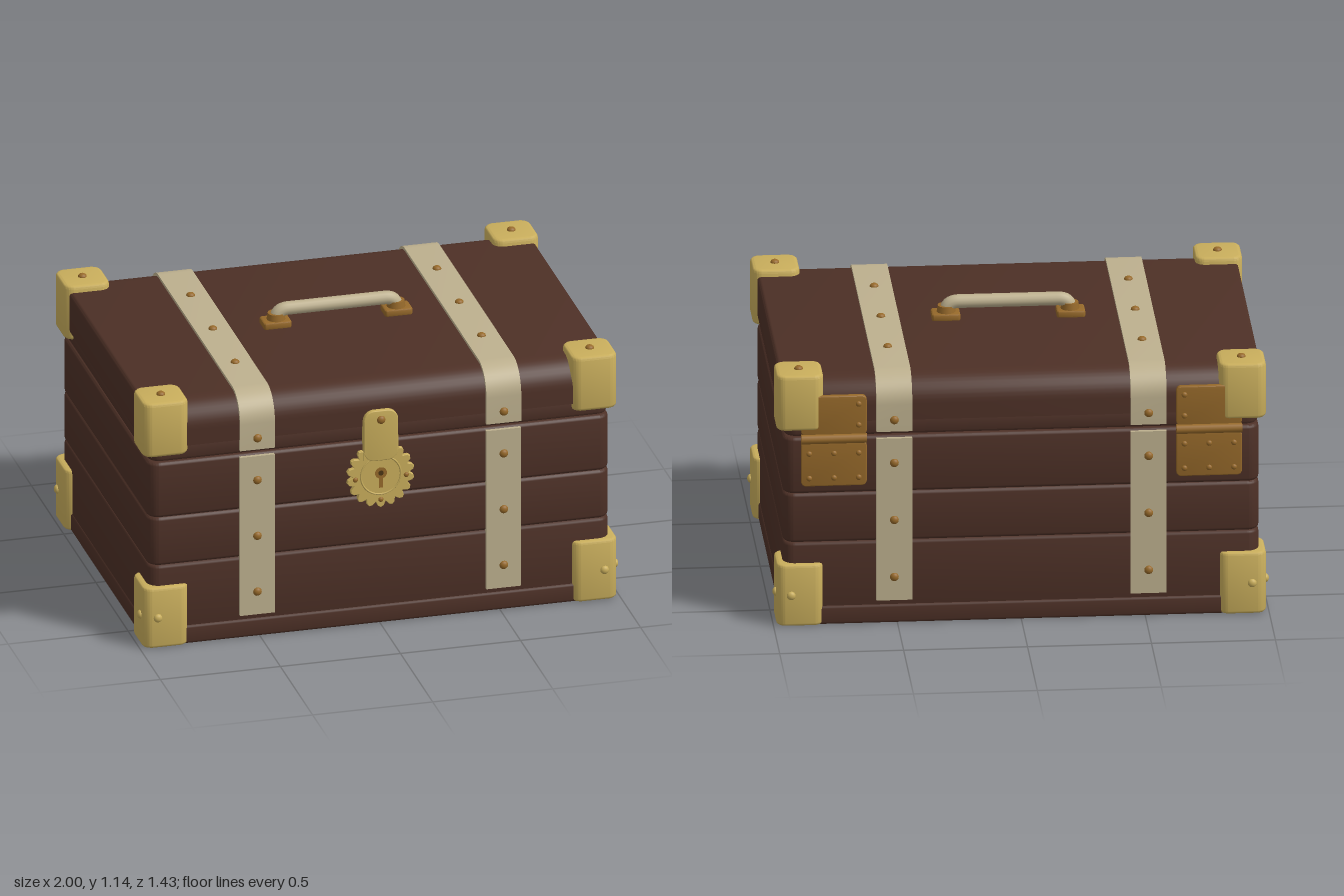
import * as THREE from 'three';
import { toCreasedNormals } from 'three/addons/utils/BufferGeometryUtils.js';

const paint = (name, color) => {
  const m = new THREE.MeshStandardMaterial({ color });
  m.name = name;
  return m;
};

export function createModel() {
  const root = new THREE.Group();
  root.name = 'trunk';
  const leather = paint('brown leather', 0x4d3026);
  const gold = paint('pale brass', 0xc9ae5c);
  const cream = paint('cream strap', 0xbdb08e);
  const bronze = paint('bronze', 0x96692a);
  const dark = paint('dark keyhole', 0x4a3414);

  const add = (name, geo, mat, x = 0, y = 0, z = 0, parent = root) => {
    const m = new THREE.Mesh(geo, mat);
    m.name = name;
    m.position.set(x, y, z);
    parent.add(m);
    return m;
  };
  const smooth = (g) => toCreasedNormals(g, 0.6);

  // Rounded rectangle outline, centred on the origin
  const roundRect = (w, h, r) => {
    const s = new THREE.Shape();
    const a = w / 2, b = h / 2;
    s.moveTo(a, -b + r);
    s.absarc(a - r, b - r, r, 0, Math.PI / 2);
    s.absarc(-a + r, b - r, r, Math.PI / 2, Math.PI);
    s.absarc(-a + r, -b + r, r, Math.PI, Math.PI * 1.5);
    s.absarc(a - r, -b + r, r, Math.PI * 1.5, Math.PI * 2);
    return s;
  };
  // Extrusion of exact depth whose bevel stays inside the outline
  const extrude = (shape, depth, bevel) => new THREE.ExtrudeGeometry(shape, {
    depth: depth - 2 * bevel, bevelEnabled: bevel > 0, bevelSize: bevel,
    bevelThickness: bevel, bevelOffset: -bevel, bevelSegments: 3, curveSegments: 10,
  }).translate(0, 0, bevel);
  // Horizontal slab standing on y = 0
  const slab = (w, h, d, r, bevel) =>
    smooth(extrude(roundRect(w, d, r), h, bevel).rotateX(-Math.PI / 2));

  // Domed nail head pointing along a direction
  const domeGeo = new THREE.SphereGeometry(1, 14, 6, 0, Math.PI * 2, 0, Math.PI / 2);
  const up = new THREE.Vector3(0, 1, 0);
  const rivet = (x, y, z, dir, r = 0.018, mat = bronze) => {
    const m = add('rivet', domeGeo, mat, x, y, z);
    m.quaternion.setFromUnitVectors(up, new THREE.Vector3(...dir));
    m.scale.set(r, r * 0.75, r);
  };

  // Body planks with bevelled joints
  add('baseMoulding', slab(1.93, 0.08, 1.37, 0.05, 0.012), leather);
  [[0.06, 0.352], [0.352, 0.562], [0.562, 0.802]].forEach(([y0, y1]) =>
    add('plank', slab(1.92, y1 - y0, 1.356, 0.05, 0.014), leather, 0, y0));
  add('lidRim', slab(1.91, 0.07, 1.35, 0.05, 0.01), leather, 0, 0.808);

  // Lid, rounded over along its front and back edges
  const archPoints = (half, bottom, top, r) => {
    const pts = [[half, bottom]];
    for (let i = 0; i <= 10; i++) {
      const a = (i / 10) * Math.PI / 2;
      pts.push([half - r + Math.cos(a) * r, top - r + Math.sin(a) * r]);
    }
    return [...pts, ...pts.map(([z, y]) => [-z, y]).reverse()]
      .map(([z, y]) => new THREE.Vector2(z, y));
  };
  const alongX = (shape, width, bevel) => smooth(
    extrude(shape, width, bevel).translate(0, 0, -width / 2).rotateY(Math.PI / 2));
  add('lid', alongX(new THREE.Shape(archPoints(0.682, 0.87, 1.048, 0.11)), 1.94, 0.015), leather);

  // Straps and their nails
  const strapOutline = new THREE.Shape([
    ...archPoints(0.694, 0.825, 1.06, 0.12),
    ...archPoints(0.672, 0.825, 1.04, 0.104).reverse(),
  ]);
  const lidStrapGeo = alongX(strapOutline, 0.145, 0);
  const bodyStrapGeo = new THREE.BoxGeometry(0.145, 0.695, 0.02);
  for (const s of [-1, 1]) {
    const x = s * 0.513;
    add('lidStrap', lidStrapGeo, cream, x);
    for (const f of [-1, 1]) {
      add('bodyStrap', bodyStrapGeo, cream, x, 0.4475, f * 0.682);
      for (const y of [0.2, 0.445, 0.69, 0.875])
        rivet(x, y, f * (y > 0.8 ? 0.694 : 0.692), [0, 0, f]);
    }
    for (const z of [-0.345, 0, 0.345]) rivet(x, 1.06, z, [0, 1, 0]);
  }

  // Brass corner caps
  const topCap = slab(0.19, 0.235, 0.19, 0.042, 0.014);
  const footCap = slab(0.19, 0.262, 0.19, 0.042, 0.012);
  for (const sx of [-1, 1]) for (const sz of [-1, 1]) {
    add('topCorner', topCap, gold, sx * 0.893, 0.84, sz * 0.608);
    add('bottomCorner', footCap, gold, sx * 0.893, 0.003, sz * 0.608);
    rivet(sx * 0.893, 1.075, sz * 0.608, [0, 1, 0]);
    rivet(sx * 0.93, 0.135, sz * 0.703, [0, 0, sz], 0.018, gold);
    rivet(sx * 0.988, 0.135, sz * 0.645, [sx, 0, 0], 0.018, gold);
  }

  // Carrying handle
  const handle = new THREE.Group();
  handle.name = 'handle';
  root.add(handle);
  const path = new THREE.CurvePath();
  const v = (x, y) => new THREE.Vector3(x, y, 0);
  path.add(new THREE.QuadraticBezierCurve3(v(-0.25, 1.07), v(-0.25, 1.116), v(-0.2, 1.116)));
  path.add(new THREE.LineCurve3(v(-0.2, 1.116), v(0.2, 1.116)));
  path.add(new THREE.QuadraticBezierCurve3(v(0.2, 1.116), v(0.25, 1.116), v(0.25, 1.07)));
  add('grip', new THREE.TubeGeometry(path, 60, 0.028, 14), cream, 0, 0, 0, handle);
  for (const s of [-1, 1]) {
    add('handlePlate', slab(0.115, 0.03, 0.085, 0.012, 0.006), bronze, s * 0.252, 1.045, 0, handle);
    add('handleCollar', new THREE.CylinderGeometry(0.034, 0.038, 0.028, 20), bronze, s * 0.25, 1.088, 0, handle);
  }

  // Lock: toothed disc, hasp and keyhole
  const teeth = 18;
  const disc = new THREE.Shape();
  for (let i = 0; i < teeth * 4; i++) {
    const a = (i / (teeth * 4)) * Math.PI * 2;
    const r = [0.118, 0.136, 0.142, 0.136][i % 4];
    disc[i ? 'lineTo' : 'moveTo'](Math.cos(a) * r, Math.sin(a) * r);
  }
  add('lockDisc', extrude(disc, 0.026, 0.003), gold, 0, 0.655, 0.67);
  add('lockBoss', new THREE.TorusGeometry(0.083, 0.004, 6, 40), gold, 0, 0.655, 0.696);
  add('hasp', smooth(extrude(roundRect(0.144, 0.22, 0.045), 0.03, 0.004)), gold, 0, 0.83, 0.671);
  add('haspTongue', new THREE.BoxGeometry(0.144, 0.1, 0.028), gold, 0, 0.775, 0.686);
  rivet(0, 0.9, 0.7, [0, 0, 1], 0.018);
  for (const [x, y] of [[-0.106, 0.645], [0.106, 0.645], [0, 0.548]])
    rivet(x, y, 0.695, [0, 0, 1], 0.011);
  add('keyholeRing', new THREE.CircleGeometry(0.025, 20), bronze, 0, 0.665, 0.698);
  add('keyholeSlot', new THREE.PlaneGeometry(0.018, 0.06), bronze, 0, 0.63, 0.6975);
  add('keyhole', new THREE.CircleGeometry(0.011, 16), dark, 0, 0.665, 0.6995);

  // Back hinges
  const leafGeo = (h) => smooth(extrude(roundRect(0.265, h, 0.02), 0.024, 0.004));
  const barrelGeo = new THREE.CylinderGeometry(0.02, 0.02, 0.265, 16).rotateZ(Math.PI / 2);
  for (const s of [-1, 1]) {
    const x = s * 0.757;
    add('lowerHingeLeaf', leafGeo(0.19), bronze, x, 0.695, -0.698);
    add('upperHingeLeaf', leafGeo(0.17), bronze, x, 0.9, -0.698);
    add('hingeBarrel', barrelGeo, bronze, x, 0.803, -0.696);
    for (const dx of [-0.1, 0, 0.1]) for (const y of [0.635, 0.74, 0.86, 0.95])
      if (y < 0.8 || s * dx < 0) rivet(x + dx, y, -0.697, [0, 0, -1], 0.012);
  }
  return root;
}
